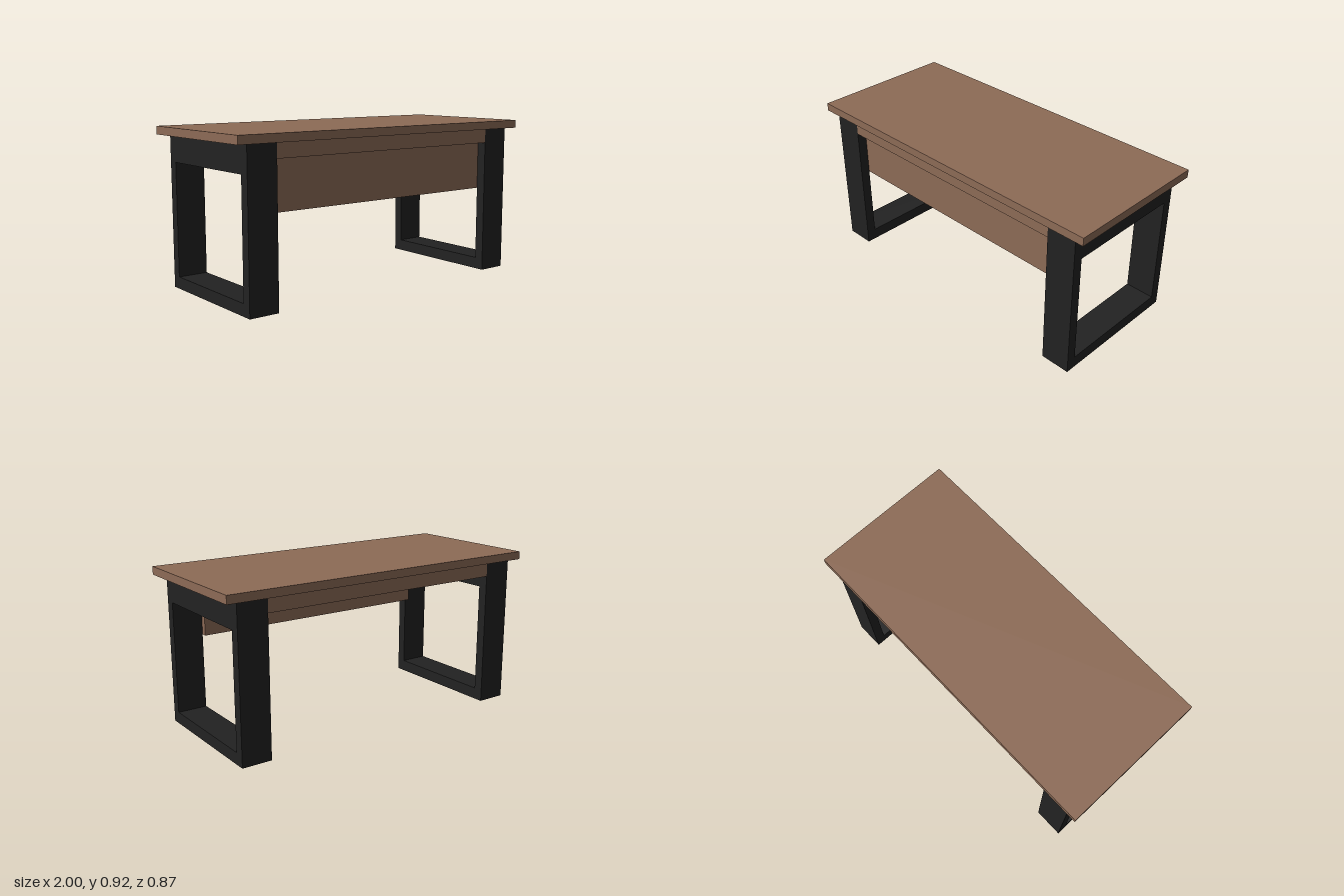
import * as THREE from 'three';

export function createModel() {
  const wood = new THREE.MeshStandardMaterial({ color: 0x8d6b56 });
  wood.name = 'brown wood';
  const metal = new THREE.MeshStandardMaterial({ color: 0x222222 });
  metal.name = 'black metal';

  const model = new THREE.Group();
  model.name = 'desk';

  const legInner = 0.757, legOuter = 0.932, frameZ = 0.405, topY = 0.876;

  // Box given by its lower and upper corners
  function box(name, [x0, y0, z0], [x1, y1, z1]) {
    const mesh = new THREE.Mesh(new THREE.BoxGeometry(x1 - x0, y1 - y0, z1 - z0), wood);
    mesh.position.set((x0 + x1) / 2, (y0 + y1) / 2, (z0 + z1) / 2);
    mesh.name = name;
    model.add(mesh);
  }

  // Wooden slab, the box beneath it and the recessed front panel
  box('tableTop', [-1, topY, -0.434], [1, 0.923, 0.434]);
  box('underTopBox', [-legInner, 0.793, -frameZ], [legInner, topY, frameZ]);
  box('modestyPanel', [-legInner, 0.51, 0.314], [legInner, 0.793, 0.348]);

  // Rectangular leg frame with an opening, extruded along x
  const rect = (Type, w, y0, y1) => new Type([
    new THREE.Vector2(-w, y0), new THREE.Vector2(w, y0),
    new THREE.Vector2(w, y1), new THREE.Vector2(-w, y1),
  ]);
  const outline = rect(THREE.Shape, frameZ, 0, topY);
  outline.holes.push(rect(THREE.Path, 0.348, 0.069, 0.722));
  const frame = new THREE.ExtrudeGeometry(outline, { depth: legOuter - legInner, bevelEnabled: false });
  frame.rotateY(Math.PI / 2);

  for (const [name, x] of [['leftLegFrame', legInner], ['rightLegFrame', -legOuter]]) {
    const leg = new THREE.Mesh(frame, metal);
    leg.position.x = x;
    leg.name = name;
    model.add(leg);
  }
  return model;
}
